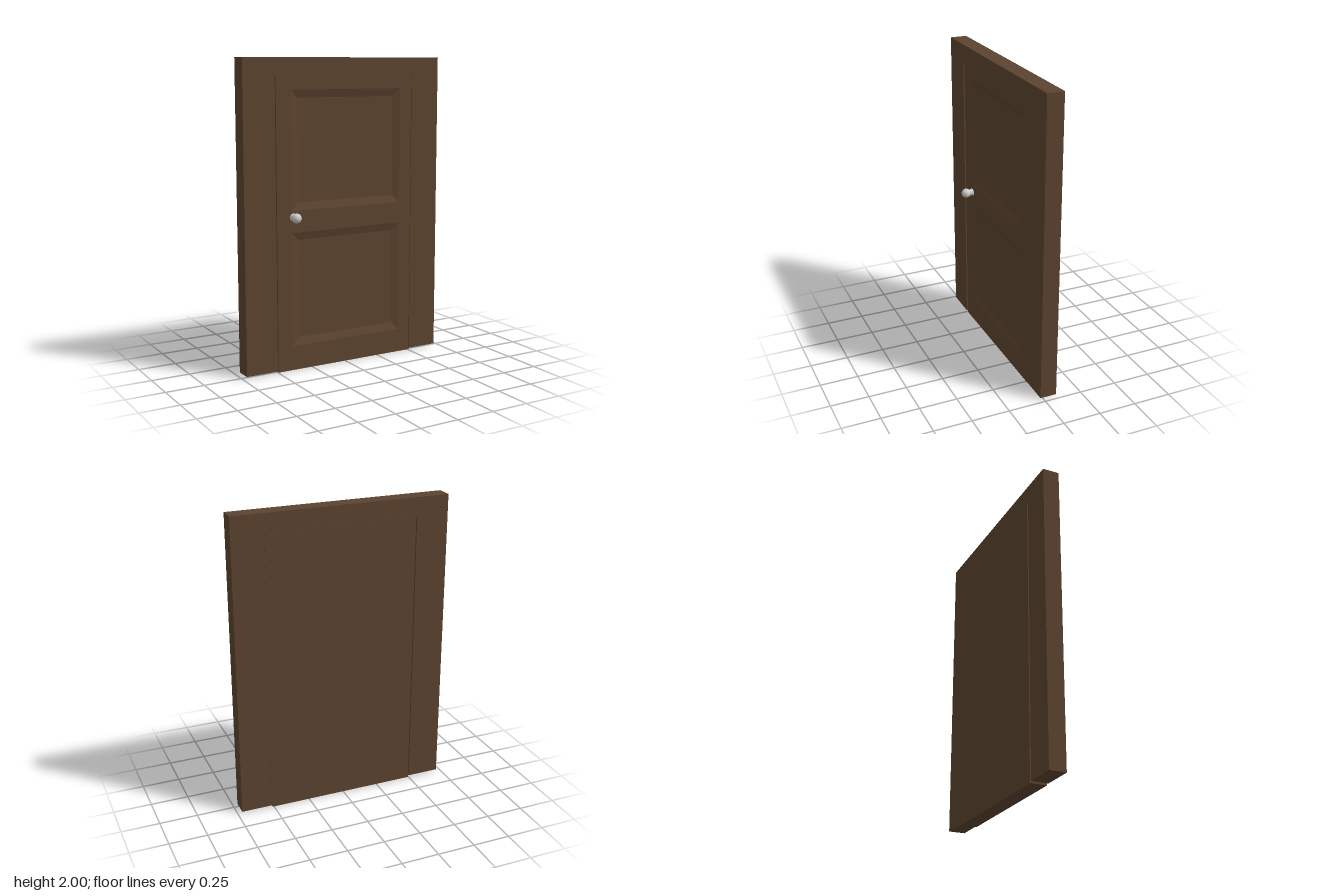
import * as THREE from 'three';

const wood = new THREE.MeshStandardMaterial({ color: 0x5c432f });
const metal = new THREE.MeshStandardMaterial({ color: 0xcccccc });

const FRAME = { x: 0.72, bottom: 0.01, top: 2, back: -0.09, front: 0.02 };
const LEAF = { x0: -0.495, x1: 0.51, y0: 0, y1: 1.88, back: -0.093, front: 0.015 };
const PANEL_Z = 0; // floor of the recessed panels
const PANELS = [
  { x0: -0.39, x1: 0.42, y0: 0.16, y1: 0.9 },
  { x0: -0.39, x1: 0.42, y0: 1.04, y1: 1.8 },
];
const BEVEL = 0.05;

// Corners of a rectangle, counter-clockwise, shrunk by an inset
const corners = ({ x0, x1, y0, y1 }, d = 0) => [
  [x0 + d, y0 + d], [x1 - d, y0 + d], [x1 - d, y1 - d], [x0 + d, y1 - d],
];

const toPoints = (list) => list.map(([x, y]) => new THREE.Vector2(x, y));

function add(parent, name, geometry, material) {
  const mesh = new THREE.Mesh(geometry, material);
  mesh.name = name;
  parent.add(mesh);
  return mesh;
}

function extrude(shape, z0, z1) {
  const geometry = new THREE.ExtrudeGeometry(shape, { depth: z1 - z0, bevelEnabled: false });
  return geometry.translate(0, 0, z0);
}

// Four sloping faces from the leaf surface down to a panel floor
function slopedBorder(rect) {
  const outer = corners(rect);
  const inner = corners(rect, BEVEL);
  const pos = [];
  for (let i = 0; i < 4; i++) {
    const j = (i + 1) % 4;
    const a = [...outer[i], LEAF.front], b = [...outer[j], LEAF.front];
    const c = [...inner[j], PANEL_Z], d = [...inner[i], PANEL_Z];
    pos.push(...a, ...b, ...c, ...a, ...c, ...d);
  }
  const geometry = new THREE.BufferGeometry();
  geometry.setAttribute('position', new THREE.Float32BufferAttribute(pos, 3));
  geometry.computeVertexNormals();
  return geometry;
}

export function createModel() {
  const model = new THREE.Group();
  model.name = 'door';

  // Frame: two jambs and a head in one piece, open at the bottom
  const { x, bottom, top } = FRAME;
  const left = -0.503, right = LEAF.x1, head = LEAF.y1;
  const frameShape = new THREE.Shape(toPoints([
    [-x, bottom], [left, bottom], [left, head], [right, head],
    [right, bottom], [x, bottom], [x, top], [-x, top],
  ]));
  add(model, 'frame', extrude(frameShape, FRAME.back, FRAME.front), wood);

  // Leaf: solid core with a front layer pierced for the two panels
  const leaf = new THREE.Group();
  leaf.name = 'leaf';
  model.add(leaf);
  add(leaf, 'leafCore', extrude(new THREE.Shape(toPoints(corners(LEAF))), LEAF.back, PANEL_Z), wood);
  const rails = new THREE.Shape(toPoints(corners(LEAF)));
  for (const panel of PANELS) {
    rails.holes.push(new THREE.Path(toPoints(corners(panel).reverse())));
    add(leaf, 'panelBorder', slopedBorder(panel), wood);
  }
  add(leaf, 'stilesAndRails', extrude(rails, PANEL_Z, LEAF.front), wood);

  // Knob: flared neck and round grip, turned about z
  const profile = [new THREE.Vector2(0.025, 0), new THREE.Vector2(0.023, 0.01), new THREE.Vector2(0.021, 0.024)];
  for (let i = 0; i <= 14; i++) {
    const a = THREE.MathUtils.lerp(-0.8, Math.PI / 2, i / 14);
    profile.push(new THREE.Vector2(Math.max(0, 0.031 * Math.cos(a)), 0.047 + 0.031 * Math.sin(a)));
  }
  const knob = add(model, 'knob', new THREE.LatheGeometry(profile, 28), metal);
  knob.rotation.x = Math.PI / 2;
  knob.position.set(-0.38, 1, LEAF.front);

  return model;
}
